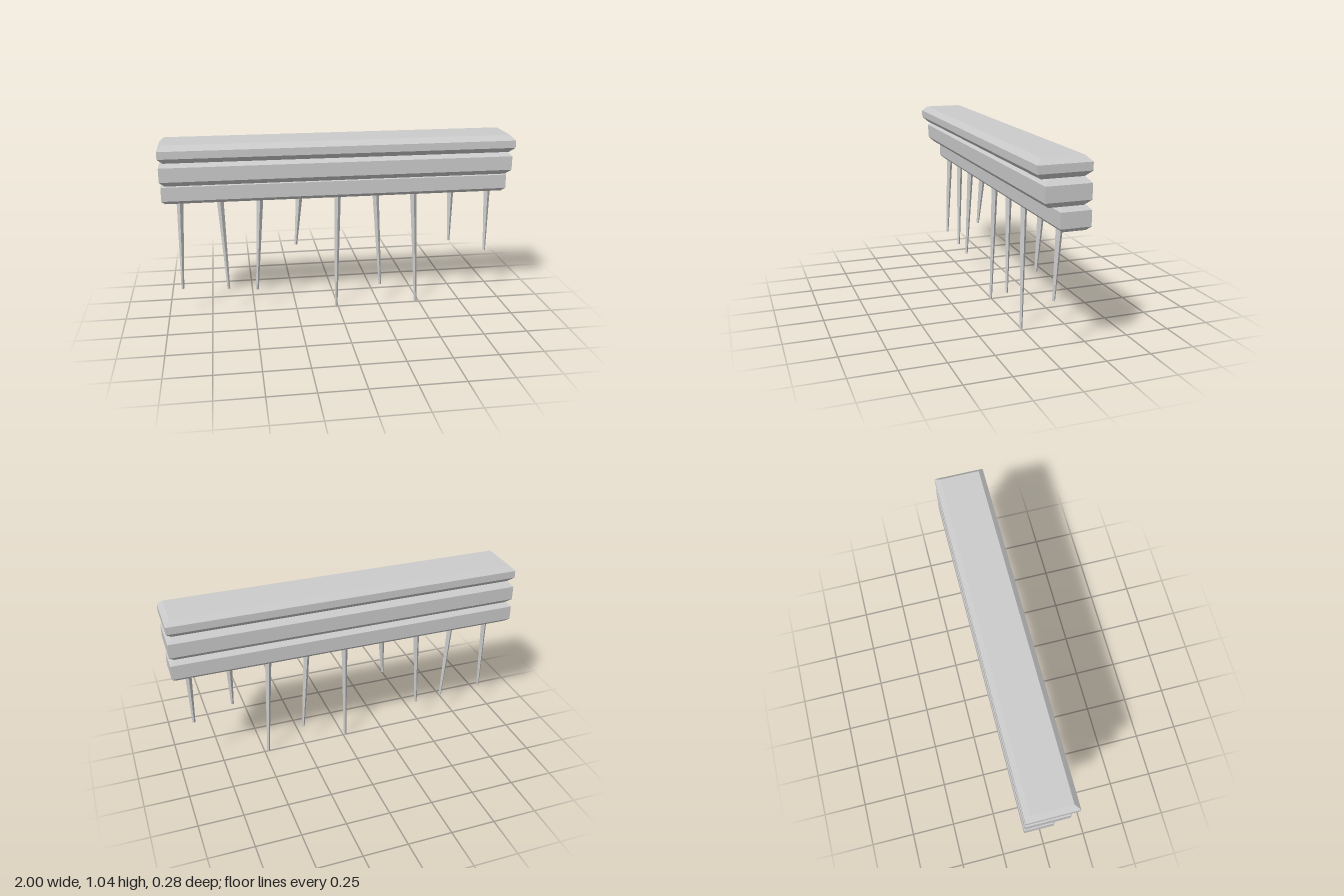
import * as THREE from 'three';

const material = new THREE.MeshStandardMaterial({ color: 0xcccccc, flatShading: true });

// Box with chamfered top and bottom rims, spanning y0..y1 and z0..z1
function chamferedBar(name, y0, y1, z0, z1, chamfer) {
  const height = y1 - y0;
  const geometry = new THREE.BoxGeometry(2, height, z1 - z0, 1, 3, 1);
  const p = geometry.attributes.position;
  for (let i = 0; i < p.count; i++) {
    const y = p.getY(i);
    if (Math.abs(y) > height / 2 - 1e-4) {
      p.setX(i, p.getX(i) - Math.sign(p.getX(i)) * chamfer);
      p.setZ(i, p.getZ(i) - Math.sign(p.getZ(i)) * chamfer);
    } else {
      p.setY(i, Math.sign(y) * (height / 2 - chamfer));
    }
  }
  geometry.translate(0, (y0 + y1) / 2, (z0 + z1) / 2);
  geometry.computeVertexNormals();
  const mesh = new THREE.Mesh(geometry, material);
  mesh.name = name;
  return mesh;
}

// Four-sided spike sheared from its root under the ledge to its tip
function spike(rootX, tipX, tipY) {
  const rootY = 0.69, rootZ = -0.02;
  const height = rootY - tipY;
  const geometry = new THREE.CylinderGeometry(0.019, 0.008, height, 4, 1);
  const p = geometry.attributes.position;
  for (let i = 0; i < p.count; i++) {
    const t = p.getY(i) / height + 0.5;
    p.setXYZ(i, p.getX(i) + THREE.MathUtils.lerp(tipX, rootX, t),
      tipY + t * height, p.getZ(i) + rootZ * t);
  }
  geometry.computeVertexNormals();
  return new THREE.Mesh(geometry, material);
}

export function createModel() {
  const model = new THREE.Group();
  model.name = 'ledgeWithSpikes';

  // Three stepped mouldings with a shared back plane
  model.add(
    chamferedBar('topMoulding', 0.945, 1.045, -0.14, 0.14, 0.029),
    chamferedBar('middleMoulding', 0.807, 0.945, -0.14, 0.10, 0.029),
    chamferedBar('bottomMoulding', 0.686, 0.807, -0.14, 0.02, 0.02),
  );

  // Hanging spikes: sideways drift and tip height, evenly spaced along x
  const spikes = [
    [-0.014, 0.17], [0.026, 0.155], [-0.032, 0.14], [-0.025, 0.41], [-0.012, 0],
    [0.03, 0.13], [0.028, 0], [-0.005, 0.39], [-0.003, 0.315],
  ];
  spikes.forEach(([drift, tipY], i) => {
    const rootX = -0.9 + i * 0.225;
    const mesh = spike(rootX, rootX + drift, tipY);
    mesh.name = `spike${i + 1}`;
    model.add(mesh);
  });

  return model;
}
